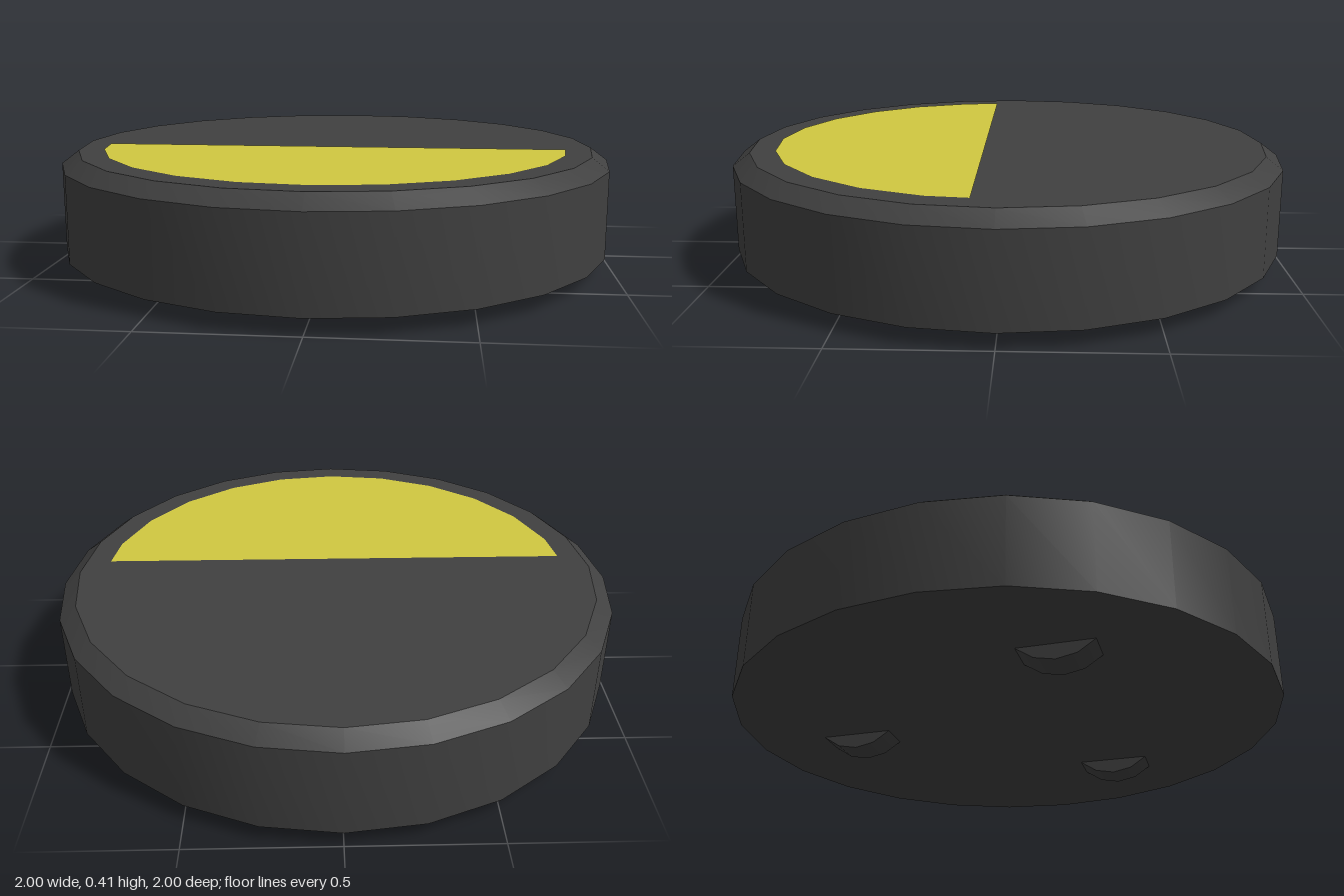
import * as THREE from 'three';
import { toCreasedNormals } from 'three/addons/utils/BufferGeometryUtils.js';

const SIDES = 24;
const TOP = 0.41;

export function createModel() {
  const model = new THREE.Group();
  model.name = 'discRobot';
  const dark = new THREE.MeshStandardMaterial({ color: 0x404040 });
  const yellow = new THREE.MeshStandardMaterial({ color: 0xd0c840 });

  const add = (name, geometry, material) => {
    const mesh = new THREE.Mesh(geometry, material);
    mesh.name = name;
    model.add(mesh);
    return mesh;
  };

  // Round body with a chamfered upper rim
  const profile = [[0, 0.055], [1, 0.055], [1, 0.365], [0.94, TOP], [0, TOP]]
    .map(([r, y]) => new THREE.Vector2(r, y));
  add('body', toCreasedNormals(new THREE.LatheGeometry(profile, SIDES), 0.5), dark);

  // Yellow segment on the front part of the top, cut straight at the back
  const radius = 0.85, cutZ = 0.08;
  const outline = [new THREE.Vector2(-0.84, -cutZ)];
  for (let i = 1; i < SIDES / 2; i++) {
    const a = Math.PI + (i / SIDES) * Math.PI * 2;
    outline.push(new THREE.Vector2(radius * Math.cos(a), radius * Math.sin(a)));
  }
  outline.push(new THREE.Vector2(0.84, -cutZ));
  const panel = new THREE.ShapeGeometry(new THREE.Shape(outline)).rotateX(-Math.PI / 2);
  add('topPanel', panel, yellow).position.y = TOP + 0.002;

  // Three wheels, mostly sunk into the body
  const wheelRadius = 0.185;
  const wheel = new THREE.CylinderGeometry(wheelRadius, wheelRadius, 0.12, 16).rotateZ(Math.PI / 2);
  const spots = { leftWheel: [0.53, 0.315], rightWheel: [-0.53, 0.315], rearWheel: [0, -0.585] };
  for (const [name, [x, z]] of Object.entries(spots)) {
    add(name, wheel, dark).position.set(x, wheelRadius, z);
  }

  return model;
}
